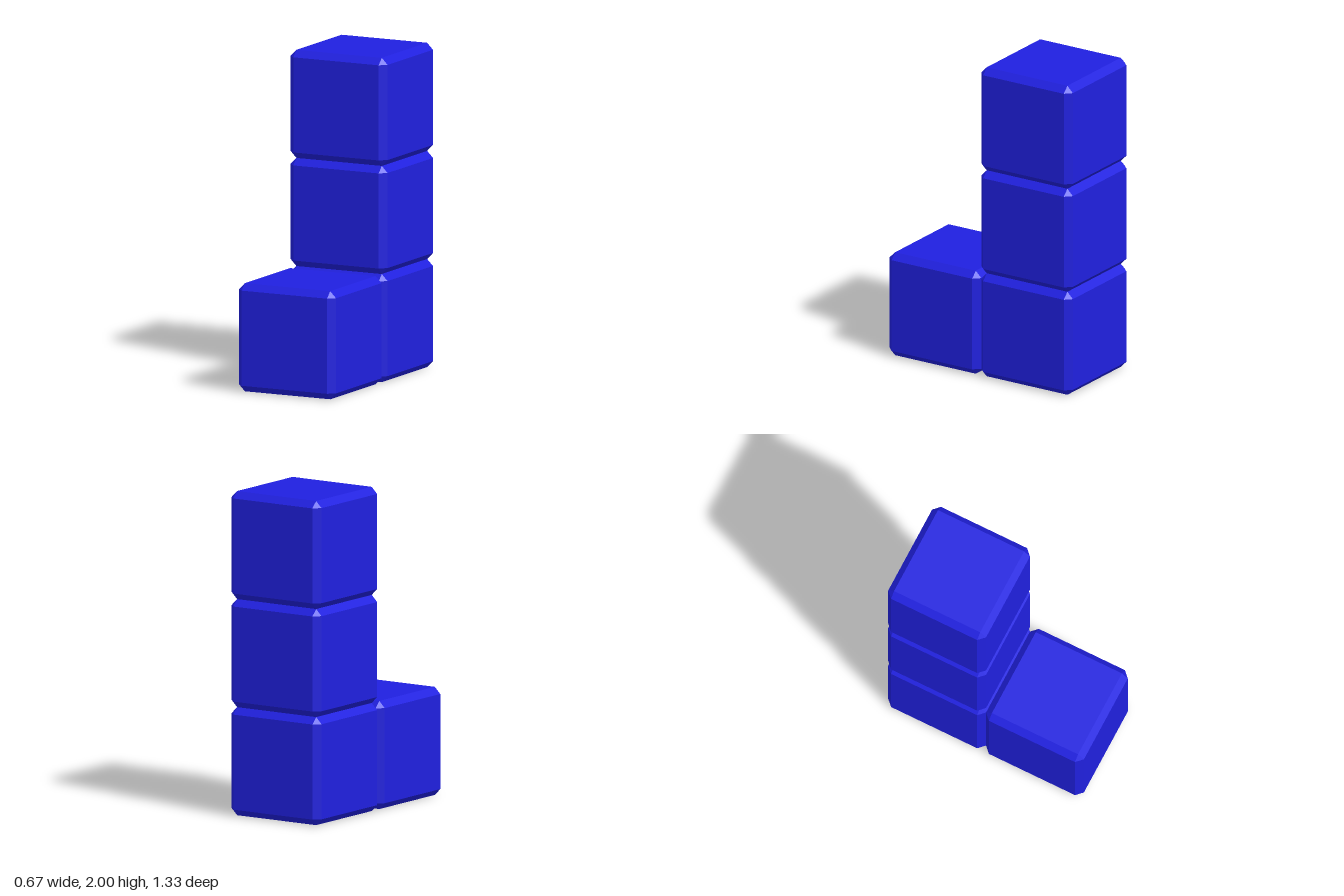
import * as THREE from 'three';
import { ConvexGeometry } from 'three/addons/geometries/ConvexGeometry.js';

const SIZE = 2 / 3;
const BEVEL = 0.04;

// Cube with flat chamfers: each corner is cut into a small triangle
function chamferedCube(size, bevel) {
  const h = size / 2, i = h - bevel;
  const points = [];
  for (const sx of [-1, 1]) for (const sy of [-1, 1]) for (const sz of [-1, 1]) {
    points.push(
      new THREE.Vector3(sx * h, sy * i, sz * i),
      new THREE.Vector3(sx * i, sy * h, sz * i),
      new THREE.Vector3(sx * i, sy * i, sz * h)
    );
  }
  return new ConvexGeometry(points);
}

export function createModel() {
  const group = new THREE.Group();
  group.name = 'blockPiece';
  const material = new THREE.MeshStandardMaterial({ color: 0x2020e0, flatShading: true });
  const geometry = chamferedCube(SIZE, BEVEL);

  // Cells as [name, row up, z direction]: a column of three with a foot in front
  const cells = [
    ['bottomBlock', 0, -1],
    ['middleBlock', 1, -1],
    ['topBlock', 2, -1],
    ['footBlock', 0, 1],
  ];
  for (const [name, row, dir] of cells) {
    const block = new THREE.Mesh(geometry, material);
    block.name = name;
    block.position.set(0, (row + 0.5) * SIZE, dir * SIZE / 2);
    group.add(block);
  }
  return group;
}
